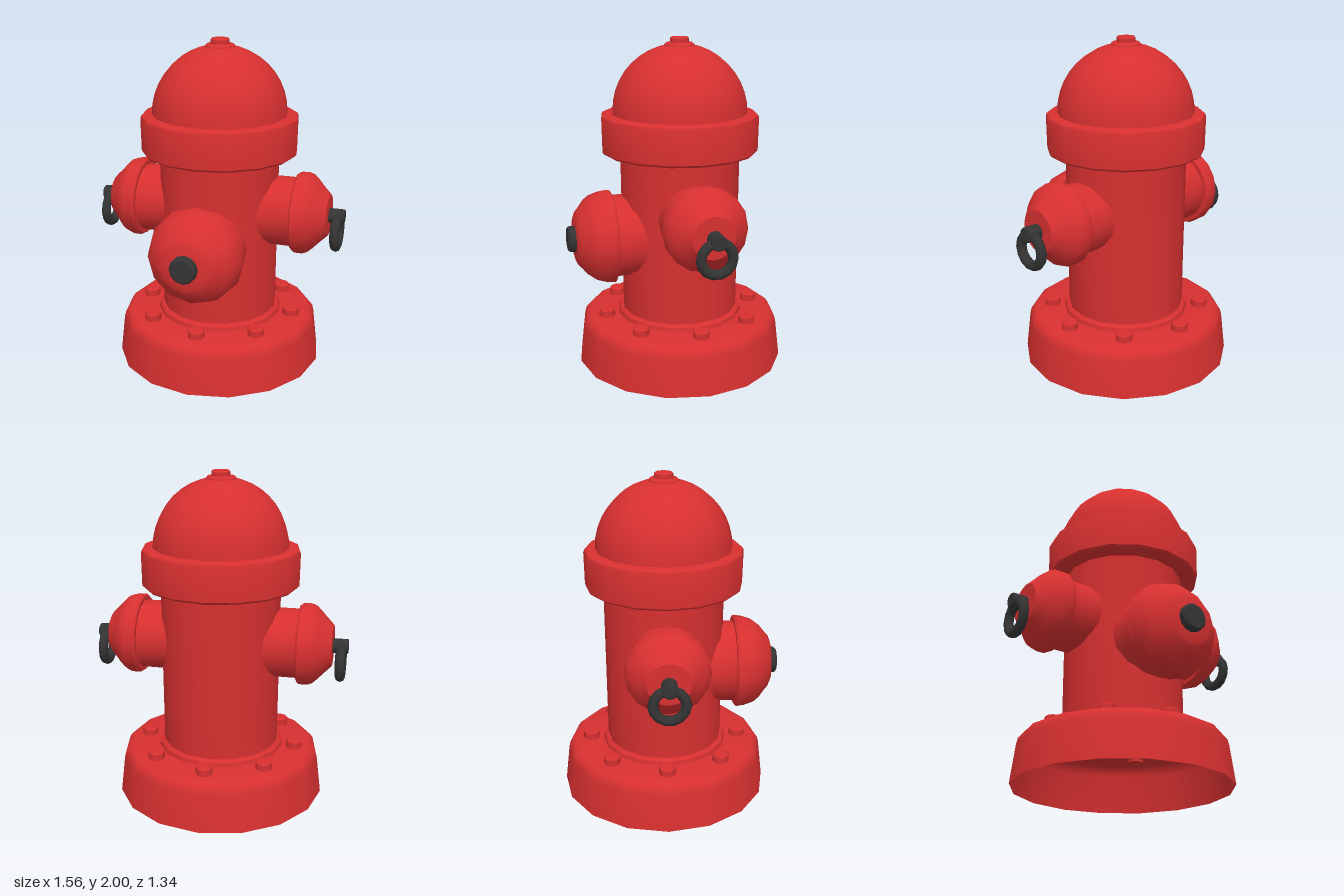
import * as THREE from 'three';
import { toCreasedNormals } from 'three/addons/utils/BufferGeometryUtils.js';

const red = new THREE.MeshStandardMaterial({ color: 0xd83030, side: THREE.DoubleSide });
red.name = 'hydrant red';
const black = new THREE.MeshStandardMaterial({ color: 0x343434 });
black.name = 'dark iron';

// Turned part: profile of [radius, height] pairs from bottom to top
function turned(name, profile, sides, material = red) {
  const points = profile.map(([r, h]) => new THREE.Vector2(r, h));
  const geometry = toCreasedNormals(new THREE.LatheGeometry(points, sides), 0.66);
  const mesh = new THREE.Mesh(geometry, material);
  mesh.name = name;
  return mesh;
}

// Short round stud with a small bevel on its outer end
function stud(name, r, from, to, sides, material = red) {
  const b = r * 0.14;
  return turned(name, [[0, from], [r, from], [r, to - b], [r - b, to], [0, to]], sides, material);
}

// Side outlet, built along +y and then laid along +x
function sideOutlet() {
  const outlet = new THREE.Group();
  const axis = new THREE.Group();
  axis.rotation.z = -Math.PI / 2;
  axis.add(
    turned('outletPipe', [[0.21, 0.2], [0.21, 0.5]], 16),
    turned('outletCap', [
      [0, 0.482], [0.235, 0.482], [0.246, 0.495], [0.246, 0.545], [0.235, 0.575],
      [0.205, 0.608], [0.175, 0.635], [0.145, 0.665], [0.125, 0.685], [0, 0.687],
    ], 16),
    stud('ringPin', 0.045, 0.68, 0.778, 12, black),
  );
  const ring = new THREE.Mesh(new THREE.TorusGeometry(0.092, 0.03, 8, 14), black);
  ring.name = 'pullRing';
  ring.rotation.y = Math.PI / 2;
  ring.position.set(0.735, -0.1, 0);
  outlet.add(axis, ring);
  outlet.position.y = 0.98;
  return outlet;
}

export function createModel() {
  const model = new THREE.Group();
  model.name = 'fireHydrant';
  // Barrel axis sits slightly behind the centre because of the front outlet
  const root = new THREE.Group();
  root.name = 'hydrant';
  root.position.z = -0.03;
  model.add(root);

  // Hollow foot, barrel and collar
  root.add(
    turned('base', [
      [0.643, 0], [0.616, 0.225], [0.608, 0.26], [0.59, 0.283], [0.565, 0.295], [0.36, 0.295],
    ], 16),
    turned('baseRing', [[0.39, 0.293], [0.385, 0.32], [0.37, 0.333], [0.35, 0.333]], 16),
    turned('barrel', [[0.358, 0.28], [0.365, 1.4]], 16),
    turned('collar', [
      [0.35, 1.322], [0.46, 1.322], [0.473, 1.335], [0.476, 1.53], [0.47, 1.547],
      [0.452, 1.556], [0.38, 1.556],
    ], 16),
  );

  // Domed top with its nut
  const dome = [];
  for (let i = 0; i <= 10; i++) {
    const a = (i / 10) * Math.PI / 2;
    dome.push([0.407 * Math.cos(a), 1.555 + 0.407 * Math.sin(a)]);
  }
  root.add(
    turned('dome', dome, 16),
    stud('topWasher', 0.09, 1.93, 1.968, 16),
    stud('topNut', 0.056, 1.95, 2, 12),
  );

  // Eight flange bolts
  for (let i = 0; i < 8; i++) {
    const a = (i * Math.PI) / 4;
    const bolt = stud('flangeBolt', 0.05, 0.28, 0.342, 10);
    bolt.position.set(0.468 * Math.sin(a), 0, 0.468 * Math.cos(a));
    root.add(bolt);
  }

  // Matching outlets on both sides
  const left = sideOutlet();
  left.name = 'leftOutlet';
  const right = sideOutlet();
  right.name = 'rightOutlet';
  right.rotation.y = Math.PI;
  root.add(left, right);

  // Large front outlet, built along +y and laid along +z
  const front = new THREE.Group();
  front.name = 'frontOutlet';
  front.rotation.x = Math.PI / 2;
  front.position.y = 0.815;
  front.add(
    turned('frontPipe', [[0.25, 0.2], [0.25, 0.45]], 16),
    turned('frontCap', [
      [0, 0.43], [0.278, 0.43], [0.288, 0.442], [0.282, 0.49], [0.262, 0.55],
      [0.235, 0.585], [0.2, 0.612], [0.165, 0.643], [0.135, 0.656], [0, 0.656],
    ], 12),
    stud('frontPlug', 0.08, 0.64, 0.7, 12, black),
  );
  root.add(front);
  return model;
}
